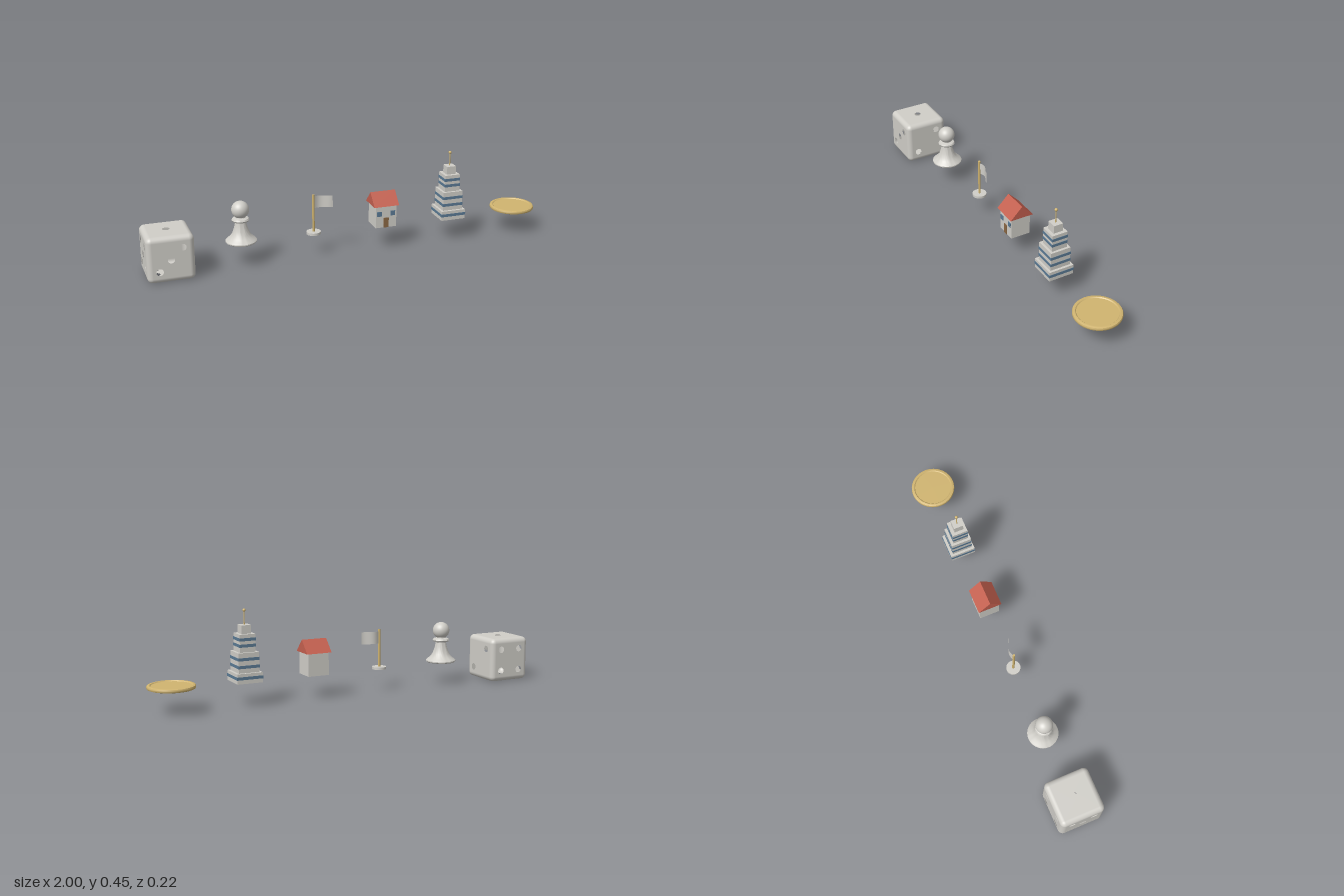
import * as THREE from 'three';
import { toCreasedNormals } from 'three/addons/utils/BufferGeometryUtils.js';
import { RoundedBoxGeometry } from 'three/addons/geometries/RoundedBoxGeometry.js';

const mat = (name, color, side = THREE.FrontSide) => {
  const m = new THREE.MeshStandardMaterial({ color, side });
  m.name = name;
  return m;
};

export function createModel() {
  const stone = mat('stone', 0xd0cec8, THREE.DoubleSide);
  const red = mat('roofRed', 0xc4604f);
  const blue = mat('glassBlue', 0x5b7a94);
  const gold = mat('gold', 0xd0b470);
  const brown = mat('doorBrown', 0x8b6844);

  const model = new THREE.Group();
  model.name = 'tokenSet';
  const base = 0.113;

  const piece = (name, x) => {
    const g = new THREE.Group();
    g.name = name;
    g.position.x = x;
    model.add(g);
    return g;
  };
  const add = (parent, name, geo, material, x = 0, y = 0, z = 0) => {
    const m = new THREE.Mesh(geo, material);
    m.name = name;
    m.position.set(x, y, z);
    parent.add(m);
    return m;
  };
  // box given by its bottom height
  const box = (parent, name, w, h, d, material, x, y, z = 0) =>
    add(parent, name, new THREE.BoxGeometry(w, h, d), material, x, y + h / 2, z);
  const lathe = (points, crease = 0.6) =>
    toCreasedNormals(new THREE.LatheGeometry(points.map(p => new THREE.Vector2(...p)), 48), crease);

  buildDie(piece('die', -0.889));
  buildPawn(piece('pawn', -0.537));
  buildFlag(piece('flagStand', -0.178));
  buildHouse(piece('house', 0.178));
  buildTower(piece('tower', 0.533));
  buildCoin(piece('coin', 0.889));
  return model;

  // hollow die: rounded frame plus six flat faces with pip holes
  function buildDie(g) {
    const size = 0.222, r = 0.025, half = size / 2, flat = half - r, step = 0.055;
    const full = new RoundedBoxGeometry(size, size, size, 5, r);
    const src = full.index ? full.toNonIndexed() : full;
    const p = src.attributes.position, n = src.attributes.normal;
    const pos = [], nor = [];
    const axial = i => Math.max(Math.abs(n.getX(i)), Math.abs(n.getY(i)), Math.abs(n.getZ(i))) > 0.9999;
    for (let i = 0; i < p.count; i += 3) {
      if (axial(i) && axial(i + 1) && axial(i + 2)) continue; // leave the flat squares open
      for (let k = i; k < i + 3; k++) {
        pos.push(p.getX(k), p.getY(k), p.getZ(k));
        nor.push(n.getX(k), n.getY(k), n.getZ(k));
      }
    }
    const frame = new THREE.BufferGeometry();
    frame.setAttribute('position', new THREE.Float32BufferAttribute(pos, 3));
    frame.setAttribute('normal', new THREE.Float32BufferAttribute(nor, 3));
    add(g, 'roundedEdges', frame, stone, 0, half, 0);

    const corners = [[1, 1], [-1, -1], [1, -1], [-1, 1]];
    const faces = [
      ['frontFace', 0, 0, [[1, 1], [0, 0], [-1, -1]]],
      ['rightFace', 0, Math.PI / 2, [[1, 1], [-1, -1]]],
      ['backFace', 0, Math.PI, corners],
      ['leftFace', 0, -Math.PI / 2, [...corners, [0, 0]]],
      ['topFace', -Math.PI / 2, 0, [[0, 0]]],
      ['bottomFace', Math.PI / 2, 0, [...corners, [1, 0], [-1, 0]]],
    ];
    for (const [name, rx, ry, pips] of faces) {
      const s = new THREE.Shape();
      s.moveTo(-flat, -flat).lineTo(flat, -flat).lineTo(flat, flat).lineTo(-flat, flat).closePath();
      for (const [u, v] of pips) {
        s.holes.push(new THREE.Path().absarc(u * step, v * step, 0.017, 0, Math.PI * 2, true));
      }
      const geo = new THREE.ShapeGeometry(s, 16);
      geo.translate(0, 0, half).rotateX(rx).rotateY(ry);
      add(g, name, geo, stone, 0, half, 0);
    }
  }

  function buildPawn(g) {
    add(g, 'pawnBody', lathe([
      [0, 0], [0.071, 0], [0.075, 0.004], [0.075, 0.009], [0.068, 0.016], [0.054, 0.026],
      [0.043, 0.042], [0.036, 0.06], [0.03, 0.08], [0.026, 0.101], [0.038, 0.105],
      [0.042, 0.112], [0.038, 0.119], [0.024, 0.123], [0.02, 0.14],
    ]), stone, 0, base, 0);
    add(g, 'pawnHead', new THREE.SphereGeometry(0.042, 32, 24), stone, 0, 0.274, 0);
  }

  function buildFlag(g) {
    add(g, 'flagBase', new THREE.CylinderGeometry(0.035, 0.035, 0.012, 32), stone, 0, 0.113, 0);
    add(g, 'flagPole', new THREE.CylinderGeometry(0.006, 0.006, 0.187, 16), gold, 0, 0.2125, 0);
    // waving cloth
    const cloth = new THREE.PlaneGeometry(0.095, 0.06, 16, 1).translate(0.0475, 0, 0);
    const p = cloth.attributes.position;
    for (let i = 0; i < p.count; i++) {
      p.setZ(i, -0.01 * Math.sin(1.5 * Math.PI * p.getX(i) / 0.095));
    }
    cloth.computeVertexNormals();
    add(g, 'flagCloth', cloth, stone, 0, 0.265, 0);
  }

  function buildHouse(g) {
    box(g, 'houseWalls', 0.107, 0.11, 0.1, stone, 0, base);
    // gable roof with its ridge along x
    const gable = new THREE.Shape();
    gable.moveTo(-0.06, 0).lineTo(0.06, 0).lineTo(0, 0.062).closePath();
    const roof = new THREE.ExtrudeGeometry(gable, { depth: 0.128, bevelEnabled: false });
    roof.translate(0, 0, -0.064).rotateY(Math.PI / 2);
    add(g, 'houseRoof', roof, red, 0, 0.223, 0);
    box(g, 'door', 0.026, 0.05, 0.004, brown, 0, base, 0.051);
    for (const side of [-1, 1]) {
      box(g, 'window', 0.023, 0.024, 0.004, blue, side * 0.035, 0.172, 0.051);
    }
  }

  function buildTower(g) {
    // half width, bottom, top, bottoms of the window bands
    const tiers = [
      [0.063, base, 0.161, [0.132]],
      [0.051, 0.161, 0.255, [0.182, 0.218]],
      [0.039, 0.255, 0.339, [0.279, 0.308]],
      [0.0235, 0.339, 0.379, []],
    ];
    for (const [w, y0, y1, bands] of tiers) {
      box(g, 'towerTier', 2 * w, y1 - y0, 2 * w, stone, 0, y0);
      for (const y of bands) box(g, 'windowBand', 2 * w + 0.003, 0.014, 2 * w + 0.003, blue, 0, y);
    }
    add(g, 'antenna', new THREE.CylinderGeometry(0.0025, 0.0025, 0.064, 12), gold, 0, 0.411, 0);
    add(g, 'antennaBall', new THREE.SphereGeometry(0.0075, 16, 12), gold, 0, 0.446, 0);
  }

  function buildCoin(g) {
    add(g, 'coinDisc', lathe([
      [0, 0], [0.104, 0], [0.109, 0.002], [0.111, 0.006], [0.111, 0.012], [0.109, 0.016],
      [0.105, 0.018], [0.097, 0.018], [0.093, 0.014], [0, 0.014],
    ]), gold, 0, base, 0);
  }
}
